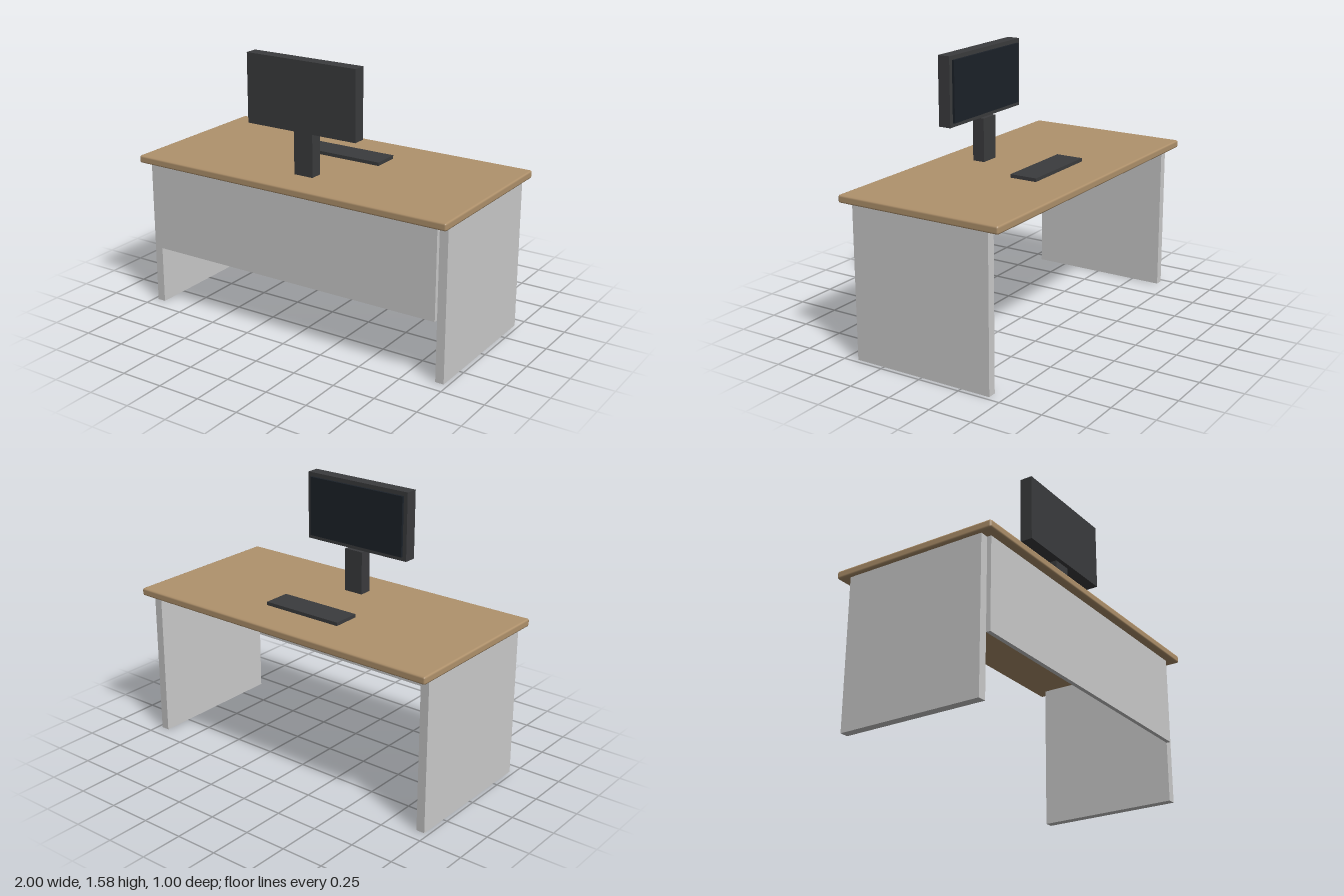
import * as THREE from 'three';
import { RoundedBoxGeometry } from 'three/addons/geometries/RoundedBoxGeometry.js';

export function createModel() {
  const group = new THREE.Group();
  const grey = new THREE.MeshStandardMaterial({ color: 0xcccccc });
  const wood = new THREE.MeshStandardMaterial({ color: 0xb0926c });
  const dark = new THREE.MeshStandardMaterial({ color: 0x3b3c3e });
  const glass = new THREE.MeshStandardMaterial({ color: 0x1c2229 });

  // Box given by its [min, max] range on each axis
  function box(name, material, x, y, z, radius = 0) {
    const size = [x, y, z].map(([a, b]) => b - a);
    const geometry = radius
      ? new RoundedBoxGeometry(...size, 1, radius)
      : new THREE.BoxGeometry(...size);
    const mesh = new THREE.Mesh(geometry, material);
    mesh.name = name;
    mesh.position.set(...[x, y, z].map(([a, b]) => (a + b) / 2));
    group.add(mesh);
  }

  // Desk: softened top, two side panels and a front privacy panel
  box('desktop', wood, [-1, 1], [0.88, 0.926], [-0.5, 0.5], 0.012);
  box('leftSidePanel', grey, [0.925, 0.975], [0, 0.88], [-0.425, 0.425]);
  box('rightSidePanel', grey, [-0.975, -0.925], [0, 0.88], [-0.425, 0.425]);
  box('frontPanel', grey, [-0.925, 0.925], [0.355, 0.88], [0.425, 0.45]);

  // Monitor, its screen facing the user at the back
  box('monitorStand', dark, [-0.06, 0.06], [0.926, 1.18], [0.214, 0.288]);
  box('monitorCase', dark, [-0.35, 0.35], [1.18, 1.578], [0.238, 0.313]);
  box('monitorScreen', glass, [-0.325, 0.325], [1.204, 1.554], [0.224, 0.238]);

  box('keyboard', dark, [-0.25, 0.25], [0.926, 0.946], [-0.25, -0.088]);

  return group;
}
